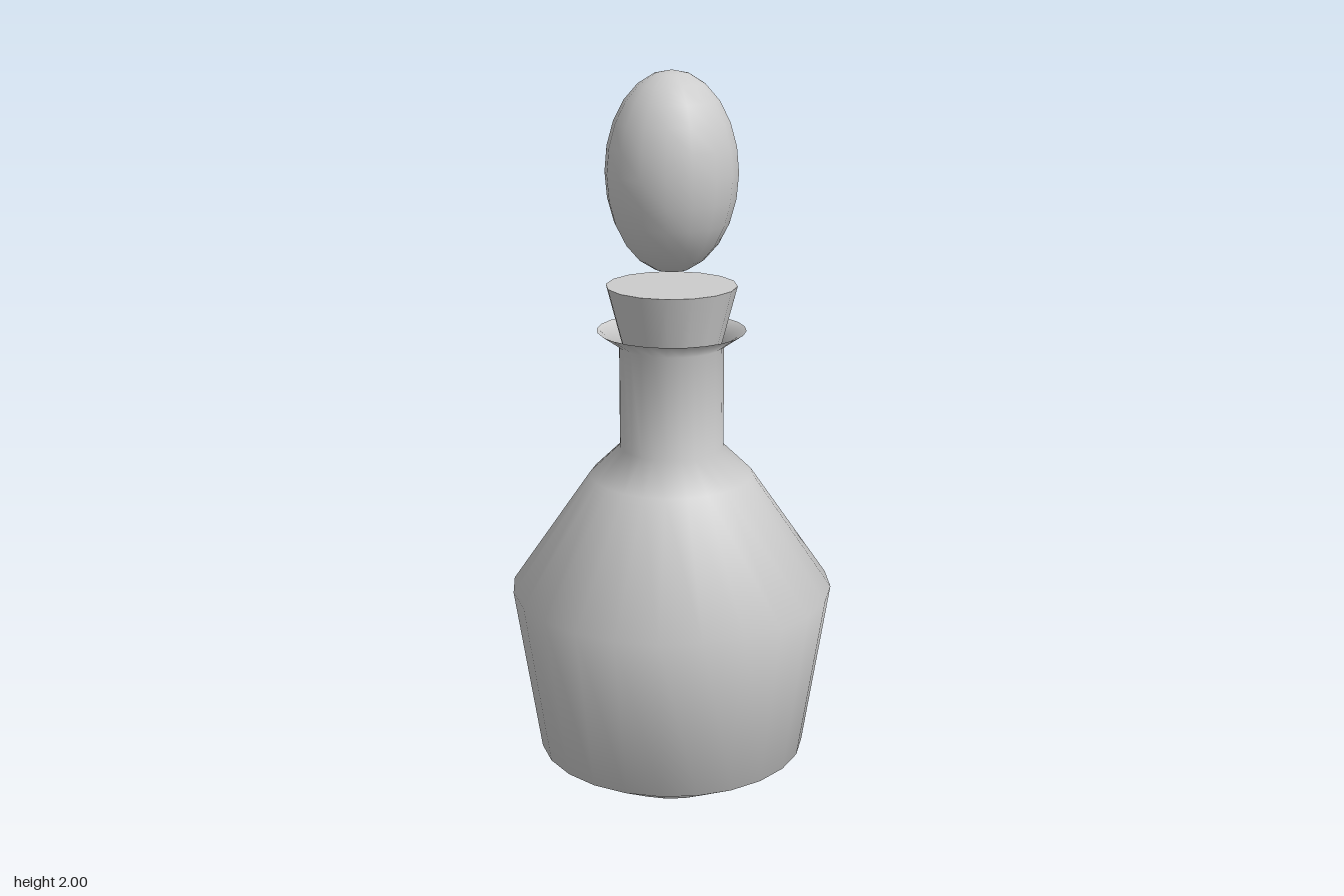
import * as THREE from 'three';

export function createModel() {
  const model = new THREE.Group();
  const glass = new THREE.MeshStandardMaterial({ color: 0xcccccc, side: THREE.DoubleSide });
  glass.name = 'pale grey glass';

  const add = (name, geometry, y = 0) => {
    const mesh = new THREE.Mesh(geometry, glass);
    mesh.name = name;
    mesh.position.y = y;
    model.add(mesh);
    return mesh;
  };

  // Bottle wall: chamfered foot, tapered belly, shoulder, neck and open flared lip
  const profile = [
    [0.2, 0], [0.375, 0.1], [0.447, 0.575], [0.225, 0.9],
    [0.143, 0.98], [0.143, 1.265], [0.203, 1.307],
  ].map(([r, y]) => new THREE.Vector2(r, y));
  add('bottle', new THREE.LatheGeometry(profile, 24));

  // Flat base disc, kept separate for a sharp edge
  add('base', new THREE.CircleGeometry(0.2, 24, Math.PI / 2).rotateX(Math.PI / 2));

  // Tapered plug, partly sunk in the neck
  add('stopperPlug', new THREE.CylinderGeometry(0.178, 0.118, 0.23, 16), 1.315);

  // Egg-shaped knob floating just above the plug
  add('stopperKnob', new THREE.SphereGeometry(1, 16, 12).scale(0.178, 0.267, 0.178), 1.733);

  return model;
}
